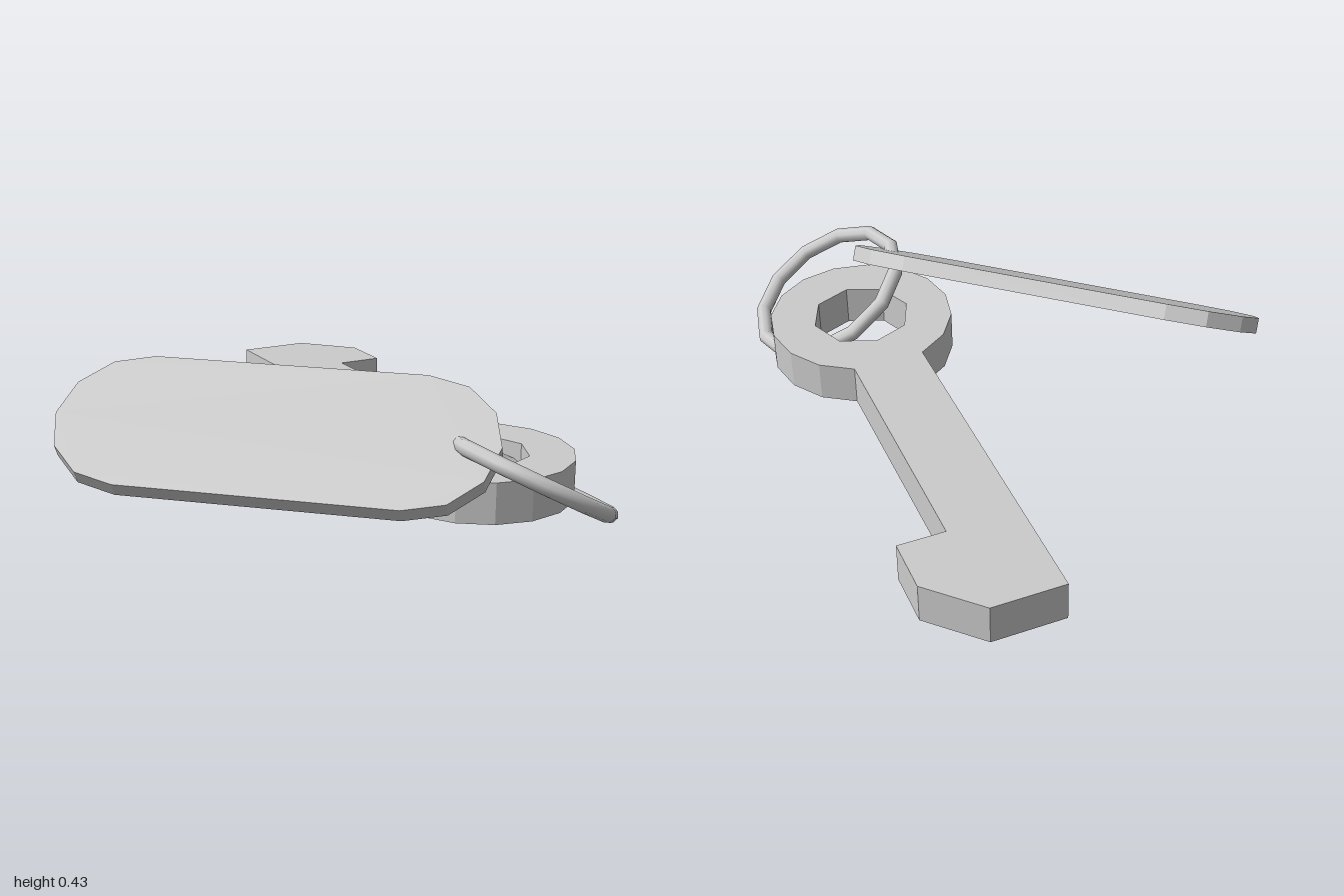
import * as THREE from 'three';

const material = new THREE.MeshStandardMaterial({ color: 0xcccccc });
const flatMaterial = new THREE.MeshStandardMaterial({ color: 0xcccccc, flatShading: true });

// Points along an arc, both ends included
function arc(cx, cy, r, from, to, segments) {
  return Array.from({ length: segments + 1 }, (_, i) => {
    const a = from + ((to - from) * i) / segments;
    return new THREE.Vector2(cx + r * Math.cos(a), cy + r * Math.sin(a));
  });
}

function slab(shape, depth, name) {
  const geometry = new THREE.ExtrudeGeometry(shape, { depth, bevelEnabled: false });
  const mesh = new THREE.Mesh(geometry, flatMaterial);
  mesh.name = name;
  return mesh;
}

// Key: shaft with a bevelled bit and a sixteen-sided bow with an octagonal hole
function createKey() {
  const cx = 0.45, cy = -0.48, step = Math.PI / 8;
  const shape = new THREE.Shape([
    ...arc(cx, cy, 0.311, 5 * step, 19 * step, 14),
    new THREE.Vector2(0.57, 0.66),
    new THREE.Vector2(0.725, 0.66),
    new THREE.Vector2(0.725, 0.84),
    new THREE.Vector2(0.57, 1.0),
    new THREE.Vector2(0.33, 1.0),
  ]);
  shape.holes.push(new THREE.Path(arc(cx, cy, 0.165, 0, -Math.PI * 1.75, 7)));
  const key = slab(shape, 0.135, 'key');
  key.rotation.x = -Math.PI / 2;
  key.position.y = 0.046;
  return key;
}

// Tag: round-ended plate leaning on the ring
function createTag() {
  const r = 0.267, half = 0.453, thickness = 0.052, q = Math.PI / 2;
  const shape = new THREE.Shape([
    ...arc(half, 0, r, -q, q, 6),
    ...arc(-half, 0, r, q, 3 * q, 6),
  ]);
  const tag = slab(shape, thickness, 'tag');
  tag.geometry.translate(0, 0, -thickness / 2);
  const along = new THREE.Vector3(0.75, 0, 0.661).normalize();
  const across = new THREE.Vector3(0.55, 0.552, -0.625).normalize();
  const normal = new THREE.Vector3().crossVectors(along, across);
  tag.quaternion.setFromRotationMatrix(new THREE.Matrix4().makeBasis(along, across, normal));
  tag.position.set(-0.172, 0.261, 0.262);
  return tag;
}

// Ring: twelve-segment hoop, tilted down towards +x
function createRing() {
  const geometry = new THREE.TorusGeometry(0.273, 0.026, 8, 12);
  geometry.rotateX(Math.PI / 2);
  const ring = new THREE.Mesh(geometry, material);
  ring.name = 'ring';
  ring.rotation.z = -0.495;
  ring.position.set(0.5, 0.153, 0.701);
  return ring;
}

export function createModel() {
  const model = new THREE.Group();
  model.name = 'keyWithTag';
  model.add(createKey(), createTag(), createRing());
  return model;
}
